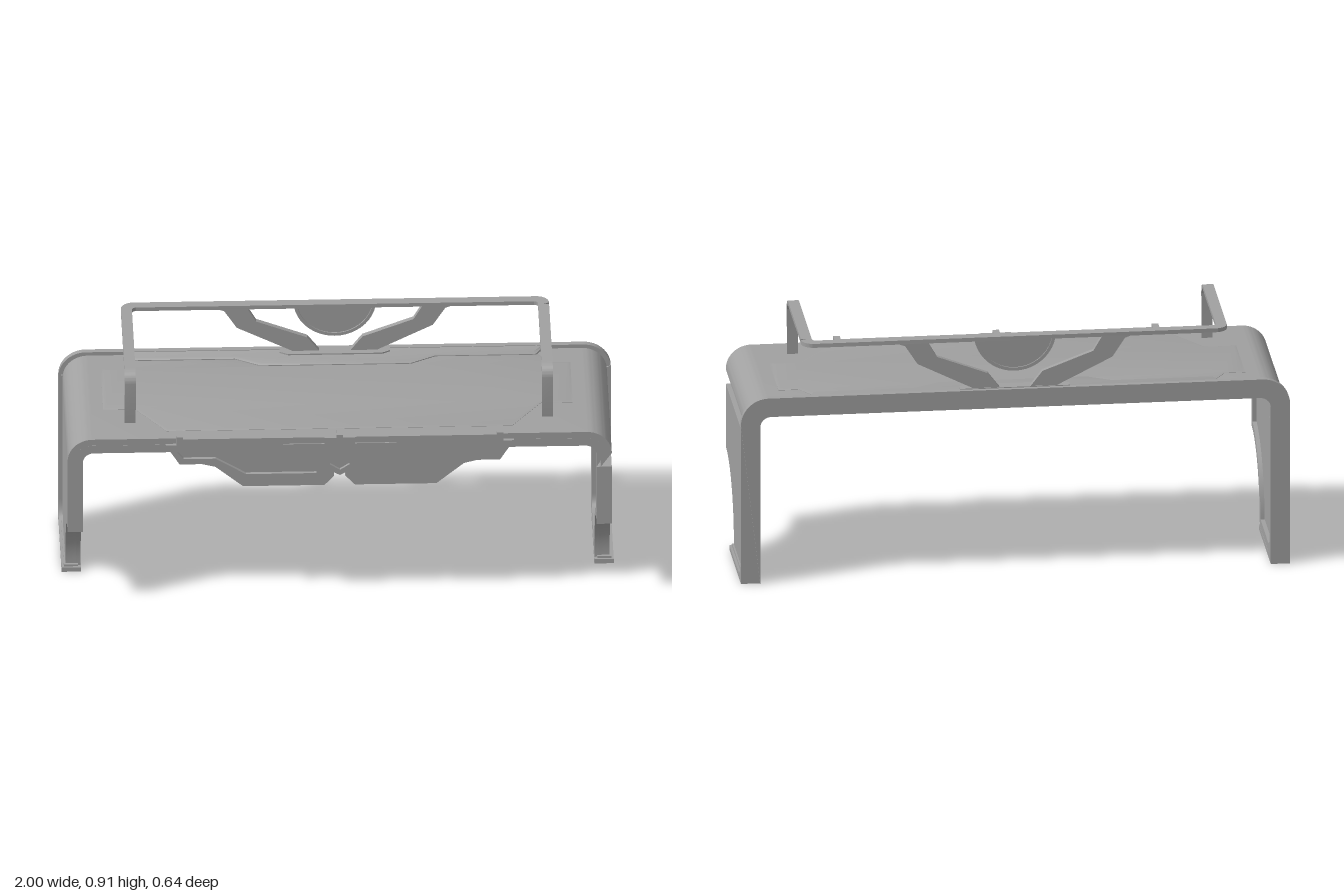
import * as THREE from 'three';
import { toCreasedNormals } from 'three/addons/utils/BufferGeometryUtils.js';

const grey = new THREE.MeshStandardMaterial({ color: 0xa0a0a0 });
grey.name = 'grey metal';

const poly = (pts) => new THREE.Shape(pts.map(([x, y]) => new THREE.Vector2(x, y)));
const flip = (pts) => pts.map(([x, y]) => [-x, y]);
// closed outline from its right half, listed from the centre line outwards and round
const symmetric = (half) => [...half, ...flip(half).reverse()];

export function createModel() {
  const model = new THREE.Group();
  model.name = 'desk';

  const extrude = (shape, depth, bevel) => new THREE.ExtrudeGeometry(shape, {
    depth, curveSegments: 10, bevelEnabled: !!bevel, ...bevel,
  });
  const add = (name, geometry) => {
    const mesh = new THREE.Mesh(toCreasedNormals(geometry, 0.5), grey);
    mesh.name = name;
    model.add(mesh);
  };
  // extrusions along each axis; side shapes are (z, y), plan shapes are (x, -z)
  const alongZ = (name, shape, z0, z1) => add(name, extrude(shape, z1 - z0).translate(0, 0, z0));
  const alongX = (name, shape, x0, x1) =>
    add(name, extrude(shape, x1 - x0).rotateY(-Math.PI / 2).translate(x1, 0, 0));
  const alongY = (name, shape, y0, y1, bevel) =>
    add(name, extrude(shape, y1 - y0, bevel).rotateX(-Math.PI / 2).translate(0, y0, 0));
  const plan = (pts) => poly(pts.map(([x, z]) => [x, -z]));
  const box = (name, w, h, d, x, y, z) => add(name, new THREE.BoxGeometry(w, h, d).translate(x, y, z));

  // upside-down U with rounded corners
  function arch(ox, oy, ix, iy, base, ro, ri) {
    const s = new THREE.Shape();
    s.moveTo(ox, base);
    s.absarc(ox - ro, oy - ro, ro, 0, Math.PI / 2, false);
    s.absarc(-ox + ro, oy - ro, ro, Math.PI / 2, Math.PI, false);
    s.lineTo(-ox, base);
    s.lineTo(-ix, base);
    s.absarc(-ix + ri, iy - ri, ri, Math.PI, Math.PI / 2, true);
    s.absarc(ix - ri, iy - ri, ri, Math.PI / 2, 0, true);
    s.lineTo(ix, base);
    return s;
  }

  // desk shell, inner front lip and raised rear rim
  alongZ('deskShell', arch(0.985, 0.697, 0.945, 0.655, 0.55, 0.09, 0.05), -0.3, 0.302);
  alongZ('frontInnerLip', arch(0.96, 0.672, 0.93, 0.64, 0.55, 0.065, 0.04), 0.275, 0.3025);
  alongZ('rearRim', arch(1, 0.711, 0.93, 0.64, 0, 0.1, 0.04), -0.316, -0.295);

  // leg plate with the curved cut-out at the lower front
  const leg = new THREE.Shape();
  leg.moveTo(-0.3, 0.55);
  leg.lineTo(-0.3, 0.01);
  leg.lineTo(0.043, 0.01);
  leg.absellipse(0.305, 0.03, 0.262, 0.28, Math.PI, Math.PI / 2 + 0.011, true);
  leg.lineTo(0.302, 0.55);

  // lip that follows the leg edge on the inner face
  const lip = new THREE.Shape();
  lip.moveTo(-0.3, 0.55);
  lip.lineTo(-0.3, 0.01);
  lip.lineTo(0.043, 0.01);
  lip.absellipse(0.305, 0.03, 0.262, 0.28, Math.PI, Math.PI / 2 + 0.011, true);
  lip.lineTo(0.302, 0.55);
  lip.lineTo(0.275, 0.55);
  lip.absellipse(0.305, 0.03, 0.289, 0.307, Math.PI / 2 + 0.1, Math.PI - 0.07, false);
  lip.lineTo(-0.22, 0.05);
  lip.quadraticCurveTo(-0.27, 0.05, -0.27, 0.1);
  lip.lineTo(-0.27, 0.55);

  // foot with a fillet running into the rear rim
  const footShape = (g) => {
    const s = new THREE.Shape();
    s.moveTo(-0.31, 0);
    s.lineTo(0.06 - g, 0);
    s.lineTo(0.06 - g, 0.018 + g);
    s.lineTo(-0.23, 0.018 + g);
    s.quadraticCurveTo(-0.294 + g, 0.025 + g, -0.294 + g, 0.1);
    s.lineTo(-0.294 + g, 0.62);
    s.lineTo(-0.31, 0.62);
    return s;
  };
  const eachSide = (fn) => [[1, 'left'], [-1, 'right']].forEach(([s, side]) => fn(s, side));
  const sideX = (name, shape, s, a, b) => alongX(name, shape, Math.min(s * a, s * b), Math.max(s * a, s * b));
  eachSide((s, side) => {
    sideX(side + 'Leg', leg, s, 0.945, 0.985);
    sideX(side + 'LegInnerLip', lip, s, 0.93, 0.946);
    sideX(side + 'Foot', footShape(0), s, 0.929, 0.9995);
    sideX(side + 'FootStep', footShape(0.008), s, 0.94, 0.991);
  });

  // shallow desktop inlay and the raised band behind it
  alongY('desktopInlay', plan(symmetric([
    [0.27, -0.195], [0.36, -0.245], [0.73, -0.245], [0.77, -0.185], [0.84, -0.185],
    [0.84, 0.08], [0.73, 0.08], [0.62, 0.24],
  ])), 0.69, 0.698, { bevelThickness: 0.003, bevelSize: 0.01, bevelSegments: 1 });
  alongY('rearBand', plan(symmetric([
    [0.27, -0.205], [0.36, -0.255], [0.72, -0.255], [0.75, -0.3],
  ])), 0.69, 0.704, { bevelThickness: 0.005, bevelSize: 0.01, bevelSegments: 1 });
  alongY('undersideBulge', plan(symmetric([[0.27, -0.2], [0.36, -0.25], [0.36, -0.3]])), 0.645, 0.66);
  alongY('supportBase', plan(symmetric([[0.17, -0.255], [0.2, -0.272], [0.2, -0.3]])), 0.7, 0.714);

  // guard rail: two bent posts and one flat bar round the back
  const post = new THREE.Shape();
  post.moveTo(0.202, 0.695);
  post.absarc(0.157, 0.866, 0.045, 0, Math.PI / 2, false);
  post.lineTo(-0.25, 0.911);
  post.lineTo(-0.25, 0.896);
  post.absarc(0.157, 0.866, 0.03, Math.PI / 2, 0, true);
  post.lineTo(0.187, 0.695);
  eachSide((s, side) => {
    sideX(side + 'RailPost', post, s, 0.735, 0.775);
    sideX(side + 'RailRib', post, s, 0.745, 0.765);
  });
  alongY('rearRail', arch(0.775, 0.306, 0.735, 0.27, 0.24, 0.045, 0.015), 0.896, 0.911);

  // half disc hung from the rail, with a raised rim
  const arc = (r) => {
    const s = new THREE.Shape();
    const a = Math.asin(0.025 / r);
    s.absarc(0, 0.925, r, Math.PI + a, 2 * Math.PI - a, false);
    return s;
  };
  const rim = new THREE.Shape();
  rim.absarc(0, 0.925, 0.15, Math.PI + 0.17, 2 * Math.PI - 0.17, false);
  rim.absarc(0, 0.925, 0.138, 2 * Math.PI - 0.18, Math.PI + 0.18, true);
  alongZ('halfDisc', arc(0.145), -0.292, -0.282);
  alongZ('halfDiscRim', rim, -0.297, -0.277);

  // bent struts that carry the rail
  const strut = [
    [0.05, 0.705], [0.135, 0.705], [0.355, 0.815], [0.4, 0.885], [0.44, 0.9],
    [0.32, 0.9], [0.285, 0.84], [0.1, 0.77],
  ];
  eachSide((s, side) => alongZ(side + 'Strut', poly(s > 0 ? strut : flip(strut)), -0.297, -0.277));

  // front fascia: rear plate, raised frame with a window, sunken strip
  const plate = [
    [0.02, 0.675], [0.61, 0.675], [0.57, 0.6], [0.51, 0.59], [0.45, 0.575],
    [0.35, 0.492], [0.055, 0.492], [0.02, 0.53],
  ];
  const frame = [
    [0.035, 0.7], [0.58, 0.7], [0.58, 0.675], [0.63, 0.675], [0.58, 0.595],
    [0.45, 0.595], [0.35, 0.525], [0.045, 0.525],
  ];
  const opening = [
    [0.085, 0.625], [0.305, 0.625], [0.345, 0.645], [0.59, 0.645], [0.565, 0.617],
    [0.45, 0.617], [0.34, 0.55], [0.085, 0.55],
  ];
  eachSide((s, side) => {
    const m = (pts) => (s > 0 ? pts : flip(pts));
    const shape = poly(m(frame));
    shape.holes.push(poly(m(opening)));
    alongZ(side + 'FasciaPlate', poly(m(plate)), 0.285, 0.302);
    alongZ(side + 'FasciaFrame', shape, 0.3, 0.315);
    alongZ(side + 'FasciaStrip', poly(m([[0.04, 0.675], [0.205, 0.675], [0.19, 0.662], [0.04, 0.662]])), 0.31, 0.319);
  });

  // pointed centre bracket
  const bracket = poly([[-0.055, 0.7], [-0.055, 0.575], [0, 0.543], [0.055, 0.575], [0.055, 0.7]]);
  bracket.holes.push(poly([[-0.035, 0.69], [-0.035, 0.588], [0, 0.565], [0.035, 0.588], [0.035, 0.69]]));
  alongZ('centreBracket', bracket, 0.295, 0.32);
  alongZ('centreBracketFill', poly([[-0.04, 0.695], [-0.04, 0.585], [0, 0.56], [0.04, 0.585], [0.04, 0.695]]), 0.29, 0.309);

  // clips hooked over the desk edge
  [-0.58, 0, 0.58].forEach((x) => {
    box('clipTop', 0.024, 0.016, 0.05, x, 0.703, 0.295);
    box('clipFront', 0.024, 0.036, 0.018, x, 0.692, 0.311);
  });

  return model;
}
